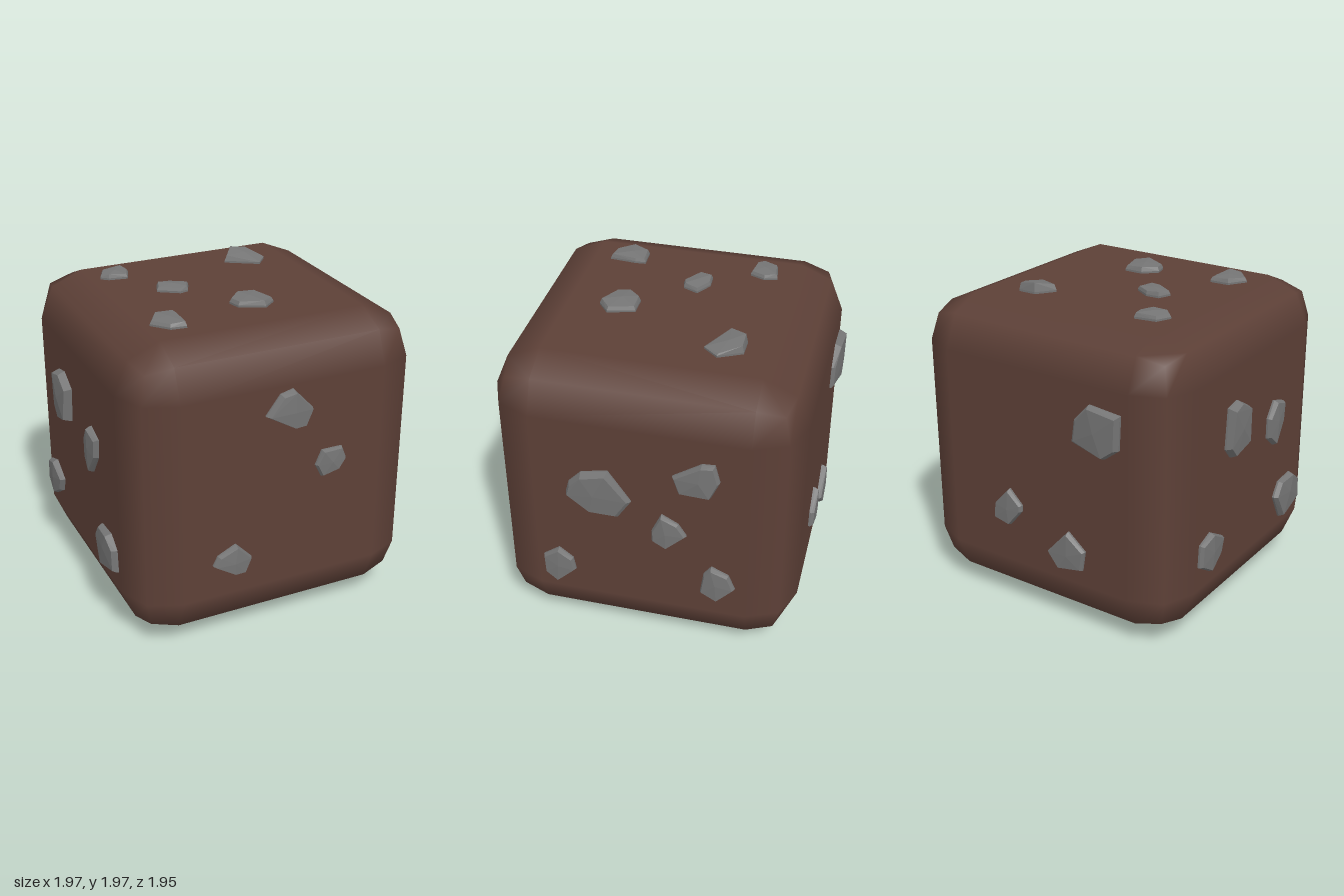
import * as THREE from 'three';
import { RoundedBoxGeometry } from 'three/addons/geometries/RoundedBoxGeometry.js';
import { ConvexGeometry } from 'three/addons/geometries/ConvexGeometry.js';

const HALF = 0.92; // half the side of the block
const CENTER_Y = 1;

const soil = new THREE.MeshStandardMaterial({ color: 0x5d4037 });
const stone = new THREE.MeshStandardMaterial({ color: 0x757575, flatShading: true });

// Each side turns (u, v, height above the surface) into model coordinates.
const sides = {
  front: (u, v, h) => [u, v, HALF + h],
  back: (u, v, h) => [u, v, -HALF - h],
  left: (u, v, h) => [HALF + h, v, u],
  right: (u, v, h) => [-HALF - h, v, u],
  top: (u, v, h) => [u, CENTER_Y + HALF + h, v],
  bottom: (u, v, h) => [u, CENTER_Y - HALF - h, v],
};

// Pebble: an outline sunk into the side, a narrower tilted rim and a low peak.
function pebble(place, { h, tilt = [0, 0], outline }) {
  const n = outline.length;
  const cu = outline.reduce((s, p) => s + p[0], 0) / n;
  const cv = outline.reduce((s, p) => s + p[1], 0) / n;
  const points = [];
  const add = (u, v, height) => points.push(new THREE.Vector3(...place(u, v, height)));
  outline.forEach(([u, v], i) => {
    add(u, v, -0.03);
    add(u, v, 0.012);
    const du = (u - cu) * 0.9, dv = (v - cv) * 0.9;
    const rim = h * (i % 3 === 0 ? 0.9 : 0.75) + tilt[0] * du + tilt[1] * dv;
    add(cu + du, cv + dv, Math.max(rim, 0.015));
  });
  add(cu, cv, h);
  return new THREE.Mesh(new ConvexGeometry(points), stone);
}

// Outlines in side coordinates: front/back (x, y), left/right (z, y), top/bottom (x, z).
const pebbles = {
  front: [
    { h: 0.06, outline: [[0.04, 1.62], [0.165, 1.485], [0.12, 1.38], [0.04, 1.38], [-0.13, 1.48], [-0.04, 1.6]] },
    { h: 0.04, outline: [[0.24, 1.19], [0.37, 1.19], [0.4, 1.115], [0.35, 1.05], [0.24, 1.02], [0.2, 1.1]] },
    { h: 0.05, outline: [[-0.31, 0.695], [-0.21, 0.59], [-0.25, 0.495], [-0.325, 0.5], [-0.455, 0.58], [-0.425, 0.64]] },
  ],
  back: [
    { h: 0.05, tilt: [-0.09, 0], outline: [[-0.39, 1.53], [-0.6, 1.51], [-0.59, 1.3], [-0.5, 1.23], [-0.27, 1.28], [-0.29, 1.42]] },
    { h: 0.04, outline: [[0.2, 0.85], [0.11, 0.76], [0.11, 0.72], [0.2, 0.61], [0.32, 0.63], [0.31, 0.73]] },
    { h: 0.04, outline: [[-0.23, 0.69], [-0.35, 0.59], [-0.33, 0.46], [-0.16, 0.43], [-0.08, 0.52]] },
  ],
  left: [
    { h: 0.06, tilt: [0.06, 0.03], outline: [[0.18, 1.34], [0.045, 1.14], [0.125, 1.015], [0.29, 1.035], [0.435, 1.15], [0.415, 1.225], [0.34, 1.305]] },
    { h: 0.05, outline: [[-0.37, 1.495], [-0.445, 1.5], [-0.475, 1.385], [-0.425, 1.27], [-0.235, 1.27], [-0.2, 1.38]] },
    { h: 0.04, outline: [[-0.135, 1.08], [-0.235, 1.025], [-0.285, 0.945], [-0.165, 0.83], [-0.077, 0.875], [-0.077, 0.95]] },
    { h: 0.045, outline: [[-0.435, 0.733], [-0.54, 0.685], [-0.58, 0.585], [-0.475, 0.475], [-0.37, 0.527], [-0.39, 0.67]] },
    { h: 0.045, outline: [[0.505, 0.685], [0.42, 0.617], [0.405, 0.53], [0.52, 0.42], [0.6, 0.48], [0.605, 0.61]] },
  ],
  right: [
    { h: 0.065, outline: [[-0.32, 1.42], [-0.22, 1.44], [-0.1, 1.37], [-0.12, 1.15], [-0.28, 1.1], [-0.34, 1.17]] },
    { h: 0.045, outline: [[0.24, 1.28], [0.36, 1.24], [0.35, 1.12], [0.25, 0.98], [0.17, 1.05], [0.17, 1.18]] },
    { h: 0.045, outline: [[-0.487, 0.7], [-0.35, 0.62], [-0.38, 0.527], [-0.5, 0.45], [-0.61, 0.52], [-0.6, 0.66]] },
    { h: 0.05, outline: [[0.51, 0.69], [0.6, 0.624], [0.61, 0.48], [0.39, 0.42], [0.3, 0.59], [0.36, 0.68]] },
  ],
  top: [
    { h: 0.04, outline: [[-0.42, -0.53], [-0.4, -0.45], [-0.437, -0.36], [-0.553, -0.38], [-0.595, -0.418], [-0.553, -0.508]] },
    { h: 0.05, tilt: [-0.08, -0.2], outline: [[0.315, -0.49], [0.43, -0.49], [0.5, -0.35], [0.425, -0.26], [0.235, -0.38]] },
    { h: 0.04, outline: [[-0.335, -0.143], [-0.25, -0.148], [-0.15, -0.085], [-0.19, 0.005], [-0.245, 0.016], [-0.365, -0.063]] },
    { h: 0.045, outline: [[0.025, 0.217], [0.145, 0.217], [0.19, 0.38], [0.11, 0.445], [-0.035, 0.375], [-0.055, 0.296]] },
    { h: 0.04, outline: [[-0.54, 0.312], [-0.42, 0.307], [-0.415, 0.37], [-0.43, 0.535], [-0.525, 0.524], [-0.61, 0.423]] },
  ],
  bottom: [
    { h: 0.06, tilt: [0.05, 0.03], outline: [[0.1, 0.2], [0.16, 0.11], [0.33, 0.2], [0.4, 0.36], [0.38, 0.48], [0.22, 0.42]] },
    { h: 0.06, tilt: [0.03, -0.12], outline: [[-0.56, -0.5], [-0.42, -0.55], [-0.18, -0.45], [-0.22, -0.36], [-0.42, -0.21], [-0.53, -0.27]] },
  ],
};

export function createModel() {
  const model = new THREE.Group();
  model.name = 'stonyBlock';

  // Block with a two-step rounded edge
  const block = new THREE.Mesh(new RoundedBoxGeometry(2 * HALF, 2 * HALF, 2 * HALF, 1, 0.28), soil);
  block.name = 'soilBlock';
  block.position.y = CENTER_Y;
  model.add(block);

  // Pebbles, grouped by side
  for (const [side, list] of Object.entries(pebbles)) {
    const group = new THREE.Group();
    group.name = `${side}Pebbles`;
    list.forEach((spec, i) => {
      const mesh = pebble(sides[side], spec);
      mesh.name = `${side}Pebble${i + 1}`;
      group.add(mesh);
    });
    model.add(group);
  }
  return model;
}
